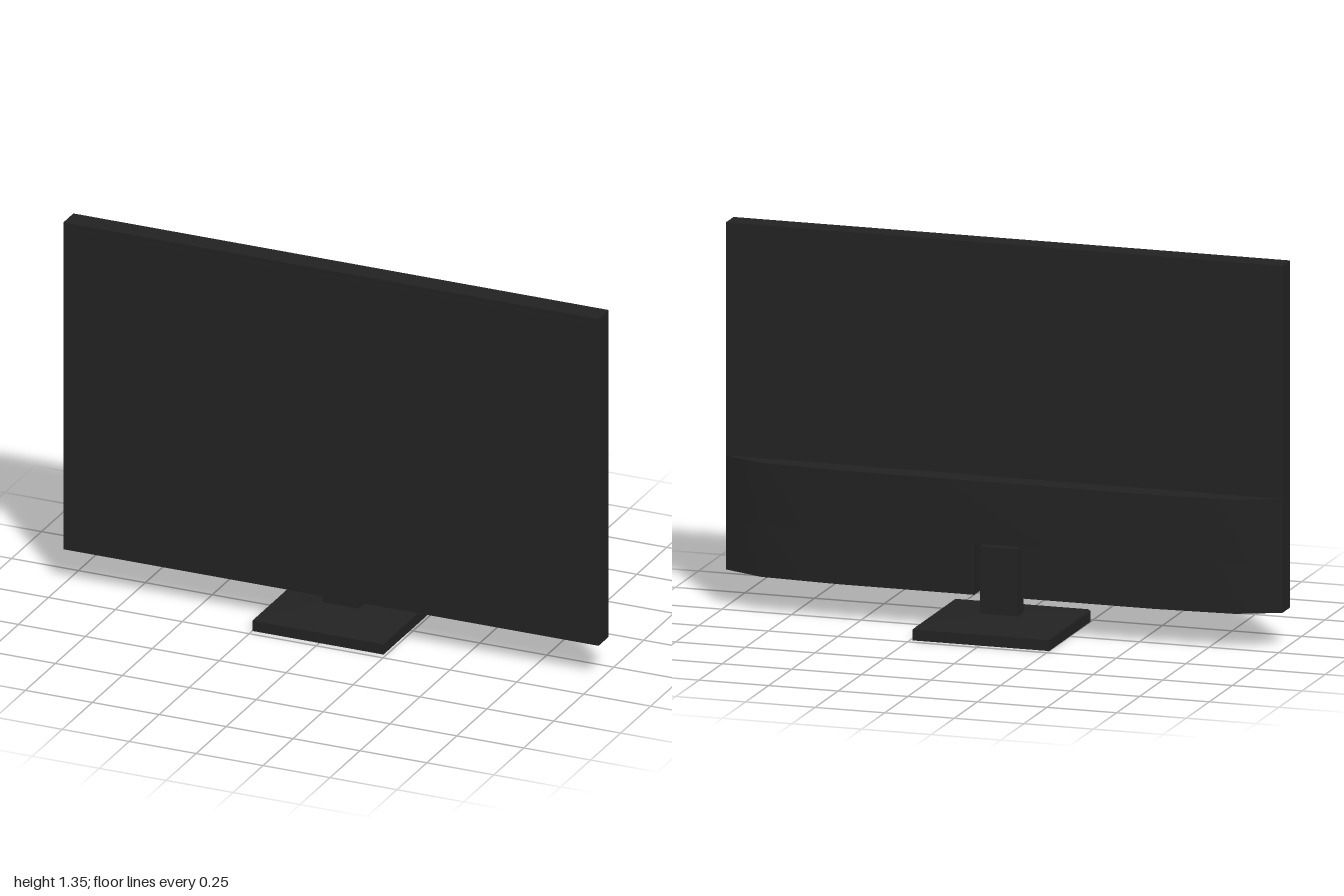
import * as THREE from 'three';
import { toCreasedNormals } from 'three/addons/utils/BufferGeometryUtils.js';
import { ConvexGeometry } from 'three/addons/geometries/ConvexGeometry.js';

export function createModel() {
  const model = new THREE.Group();
  const plastic = new THREE.MeshStandardMaterial({ color: 0x222222 });
  plastic.name = 'black plastic';
  const glass = new THREE.MeshStandardMaterial({ color: 0x222223 });
  glass.name = 'dark screen';

  const add = (name, geometry, material = plastic) => {
    const mesh = new THREE.Mesh(geometry, material);
    mesh.name = name;
    model.add(mesh);
  };
  // Box given by its limits on each axis
  const box = (x0, x1, y0, y1, z0, z1) =>
    new THREE.BoxGeometry(x1 - x0, y1 - y0, z1 - z0)
      .translate((x0 + x1) / 2, (y0 + y1) / 2, (z0 + z1) / 2);

  // Flat panel with a thin screen plate
  add('panel', box(-1, 1, 0.13, 1.347, 0.042, 0.126));
  add('screen', box(-0.98, 0.98, 0.15, 1.327, 0.125, 0.128), glass);

  // Curved rear housing: a plan outline raised in y, its lower part notched for the neck
  const outline = [[-1, 0.042], [-0.85, -0.023], [-0.57, -0.041],
    [0.57, -0.041], [0.85, -0.023], [1, 0.042]];
  const notch = [[-0.09, -0.041], [-0.09, 0.038], [0.08, 0.038], [0.08, -0.041]];
  const housing = (points, y0, y1) => {
    const shape = new THREE.Shape(points.map(([x, z]) => new THREE.Vector2(x, -z)));
    const geometry = new THREE.ExtrudeGeometry(shape, { depth: y1 - y0, bevelEnabled: false });
    geometry.rotateX(-Math.PI / 2).translate(0, y0, 0);
    return toCreasedNormals(geometry, 0.6);
  };
  add('upperRearHousing', housing(outline, 0.31, 0.53));
  add('lowerRearHousing',
    housing([...outline.slice(0, 3), ...notch, ...outline.slice(3)], 0.13, 0.31));

  // Neck standing inside the notch
  add('neck', box(-0.072, 0.062, 0.05, 0.3, -0.034, 0.036));

  // Base with a small edge chamfer and a gently sloped top: [half width, half depth, y]
  const layers = [[0.245, 0.224, 0], [0.245, 0.224, 0.038],
    [0.238, 0.217, 0.045], [0.075, 0.045, 0.064]];
  const corners = [];
  for (const [w, d, y] of layers)
    for (const sx of [-1, 1])
      for (const sz of [-1, 1]) corners.push(new THREE.Vector3(sx * w - 0.005, y, sz * d));
  add('base', new ConvexGeometry(corners));

  return model;
}
